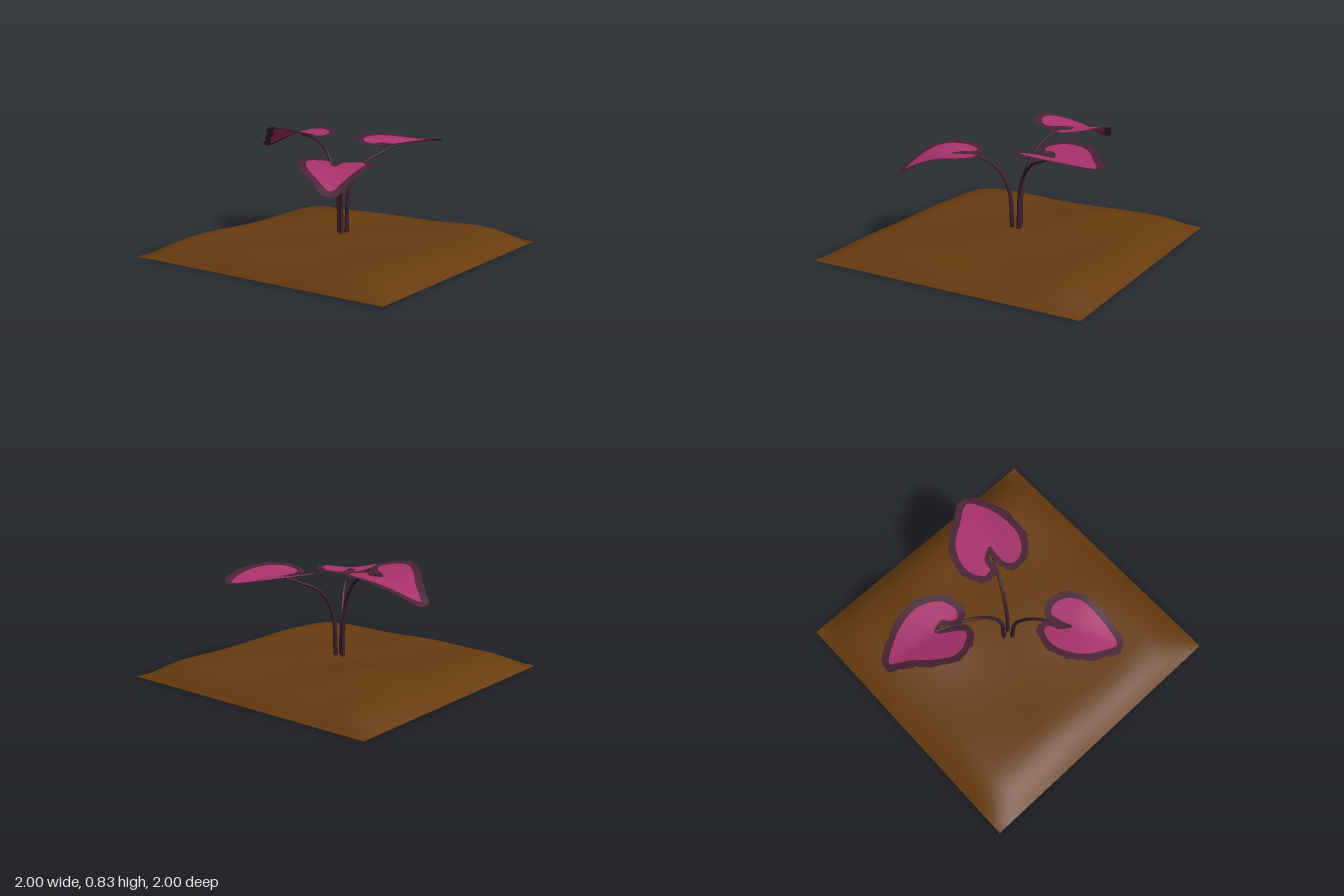
import * as THREE from 'three';
import { mergeVertices } from 'three/addons/utils/BufferGeometryUtils.js';

const mat = (name, color, side = THREE.FrontSide) => {
  const m = new THREE.MeshStandardMaterial({ color, side });
  m.name = name;
  return m;
};

// Each leaf: outline of the blade in (x, z) from the tip round the notch, and how it bends.
const LEAVES = [
  {
    name: 'back', root: [0.005, -0.03], notch: [0.17, -0.49], tip: [0.24, -0.88],
    height: 0.765, droop: 0.8, fold: 0.2, roll: -0.07, lean: 0,
    outline: [[0.24, -0.845], [0.315, -0.73], [0.365, -0.58], [0.365, -0.45], [0.3, -0.33], [0.2, -0.29],
      [0.14, -0.32], [0.155, -0.37], [0.2, -0.41], [0.17, -0.5], [0.12, -0.46], [0.08, -0.4],
      [0.02, -0.35], [-0.05, -0.44], [-0.05, -0.53], [0.03, -0.64], [0.13, -0.73], [0.2, -0.81]],
  },
  {
    name: 'left', root: [0.02, 0.02], notch: [0.385, 0.195], tip: [0.79, 0.3],
    height: 0.715, droop: 0.03, fold: 0.22, roll: 0.02, lean: 0.3,
    outline: [[0.74, 0.3], [0.65, 0.155], [0.565, 0.04], [0.45, -0.03], [0.33, -0.04], [0.25, 0.02],
      [0.26, 0.08], [0.33, 0.095], [0.37, 0.14], [0.395, 0.2], [0.33, 0.195], [0.235, 0.195],
      [0.19, 0.235], [0.205, 0.315], [0.3, 0.385], [0.47, 0.4], [0.62, 0.37]],
  },
  {
    name: 'right', root: [-0.035, 0.015], notch: [-0.39, 0.22], tip: [-0.7, 0.41],
    height: 0.655, droop: 1.0, fold: 0.13, roll: 0.05, lean: 0,
    outline: [[-0.67, 0.39], [-0.645, 0.27], [-0.59, 0.15], [-0.49, 0.065], [-0.385, 0.035], [-0.29, 0.065],
      [-0.28, 0.11], [-0.34, 0.14], [-0.37, 0.17], [-0.395, 0.225], [-0.325, 0.205], [-0.235, 0.185],
      [-0.2, 0.235], [-0.215, 0.32], [-0.3, 0.395], [-0.42, 0.41], [-0.555, 0.41]],
  },
];

// Height of a leaf over (x, z): folded up along the midrib, drooping toward the tip.
function leafHeight(leaf, x, z) {
  const ax = new THREE.Vector2(leaf.tip[0] - leaf.notch[0], leaf.tip[1] - leaf.notch[1]).normalize();
  const dx = x - leaf.notch[0], dz = z - leaf.notch[1];
  const u = dx * ax.x + dz * ax.y;
  const v = dz * ax.x - dx * ax.y;
  const crease = Math.sqrt(v * v + 0.0009) - 0.03;
  return leaf.height - leaf.droop * Math.max(u, 0) ** 2 + leaf.fold * crease + leaf.roll * v;
}

function surface(leaf, triangles, lower = 0) {
  const pos = [];
  for (const p of triangles.flat()) pos.push(p.x, leafHeight(leaf, p.x, -p.y) - lower, -p.y);
  let g = new THREE.BufferGeometry();
  g.setAttribute('position', new THREE.Float32BufferAttribute(pos, 3));
  g = mergeVertices(g, 1e-5);
  g.computeVertexNormals();
  return g;
}

const subdivide = (tris) => tris.flatMap(([a, b, c]) => {
  const mid = (p, q) => p.clone().add(q).multiplyScalar(0.5);
  const ab = mid(a, b), bc = mid(b, c), ca = mid(c, a);
  return [[a, ab, ca], [ab, b, bc], [ca, bc, c], [ab, bc, ca]];
});

function leafParts(leaf) {
  // Smooth outline, counter-clockwise seen from above
  const curve = new THREE.CatmullRomCurve3(
    leaf.outline.map(([x, z]) => new THREE.Vector3(x, -z, 0)), true, 'centripetal');
  const n = 72;
  const inner = curve.getPoints(n).slice(0, n).map((p) => new THREE.Vector2(p.x, p.y));
  if (THREE.ShapeUtils.area(inner) < 0) inner.reverse();

  let blade = THREE.ShapeUtils.triangulateShape(inner, []).map((f) => f.map((i) => inner[i]));
  for (let i = 0; i < 3; i++) blade = subdivide(blade);

  // Wavy border, narrower inside the notch
  const notch = new THREE.Vector2(leaf.notch[0], -leaf.notch[1]);
  const outer = inner.map((p, i) => {
    const t = inner[(i + 1) % n].clone().sub(inner[(i + n - 1) % n]).normalize();
    const near = Math.min(1, 0.45 + p.distanceTo(notch) * 3);
    const w = near * (0.049 + 0.005 * Math.sin(i * 1.3) + 0.004 * Math.sin(i * 2.9));
    return new THREE.Vector2(p.x + t.y * w, p.y - t.x * w);
  });
  let rim = [];
  for (let i = 0; i < n; i++) {
    const j = (i + 1) % n;
    rim.push([inner[i], outer[i], outer[j]], [inner[i], outer[j], inner[j]]);
  }
  return [surface(leaf, blade), surface(leaf, rim, 0.001)];
}

// Arched stem, tapering toward the leaf
function stemGeometry(leaf) {
  const arch = [[0, -0.08], [0.01, 0.2], [0.035, 0.45], [0.15, 0.69], [0.38, 0.89], [0.65, 0.97], [1, 1]];
  const path = new THREE.CatmullRomCurve3(arch.map(([f, h]) => new THREE.Vector3(
    THREE.MathUtils.lerp(leaf.root[0], leaf.notch[0], f),
    0.12 + (leaf.height - 0.12) * h * (1 - leaf.lean * f * (1 - f)),
    THREE.MathUtils.lerp(leaf.root[1], leaf.notch[1], f))));
  const segs = 20, sides = 8;
  const g = new THREE.TubeGeometry(path, segs, 0.017, sides);
  const p = g.attributes.position, v = new THREE.Vector3();
  for (let i = 0; i < p.count; i++) {
    const t = Math.floor(i / (sides + 1)) / segs;
    const c = path.getPointAt(t);
    v.fromBufferAttribute(p, i).sub(c).multiplyScalar(1 - 0.55 * t).add(c);
    p.setXYZ(i, v.x, v.y, v.z);
  }
  g.computeVertexNormals();
  return g;
}

// Gently uneven mound falling to zero along all four edges
function soilGeometry() {
  const g = new THREE.PlaneGeometry(2, 2, 48, 48).rotateX(-Math.PI / 2);
  const p = g.attributes.position;
  const edge = (a) => 1 - (1 - Math.min(1, (1 - Math.abs(a)) / 0.35)) ** 2.5;
  for (let i = 0; i < p.count; i++) {
    const x = p.getX(i), z = p.getZ(i);
    const bump = 0.03 * Math.exp(-((x - 0.35) ** 2 + (z + 0.42) ** 2) / 0.06);
    const ripple = 0.007 * Math.sin(x * 6 + z * 3 + 1) + 0.005 * Math.sin(z * 8 - x * 4);
    p.setY(i, Math.max(0, edge(x) * edge(z) * (0.112 + bump + ripple)));
  }
  g.computeVertexNormals();
  return g;
}

export function createModel() {
  const soil = mat('soil brown', 0x673b0f);
  const stem = mat('stem dark purple', 0x3c1e2b);
  const rim = mat('leaf border purple', 0x4a2234, THREE.DoubleSide);
  const pink = mat('leaf pink', 0xa8326c, THREE.DoubleSide);

  const model = new THREE.Group();
  model.name = 'seedling';
  const add = (parent, name, geometry, material) => {
    const m = new THREE.Mesh(geometry, material);
    m.name = name;
    parent.add(m);
  };

  add(model, 'soilMound', soilGeometry(), soil);
  add(model, 'soilBase', new THREE.PlaneGeometry(2, 2).rotateX(Math.PI / 2), soil);

  for (const leaf of LEAVES) {
    const shoot = new THREE.Group();
    shoot.name = leaf.name + 'Shoot';
    const [blade, border] = leafParts(leaf);
    add(shoot, 'stem', stemGeometry(leaf), stem);
    add(shoot, 'leafBlade', blade, pink);
    add(shoot, 'leafBorder', border, rim);
    model.add(shoot);
  }
  return model;
}
